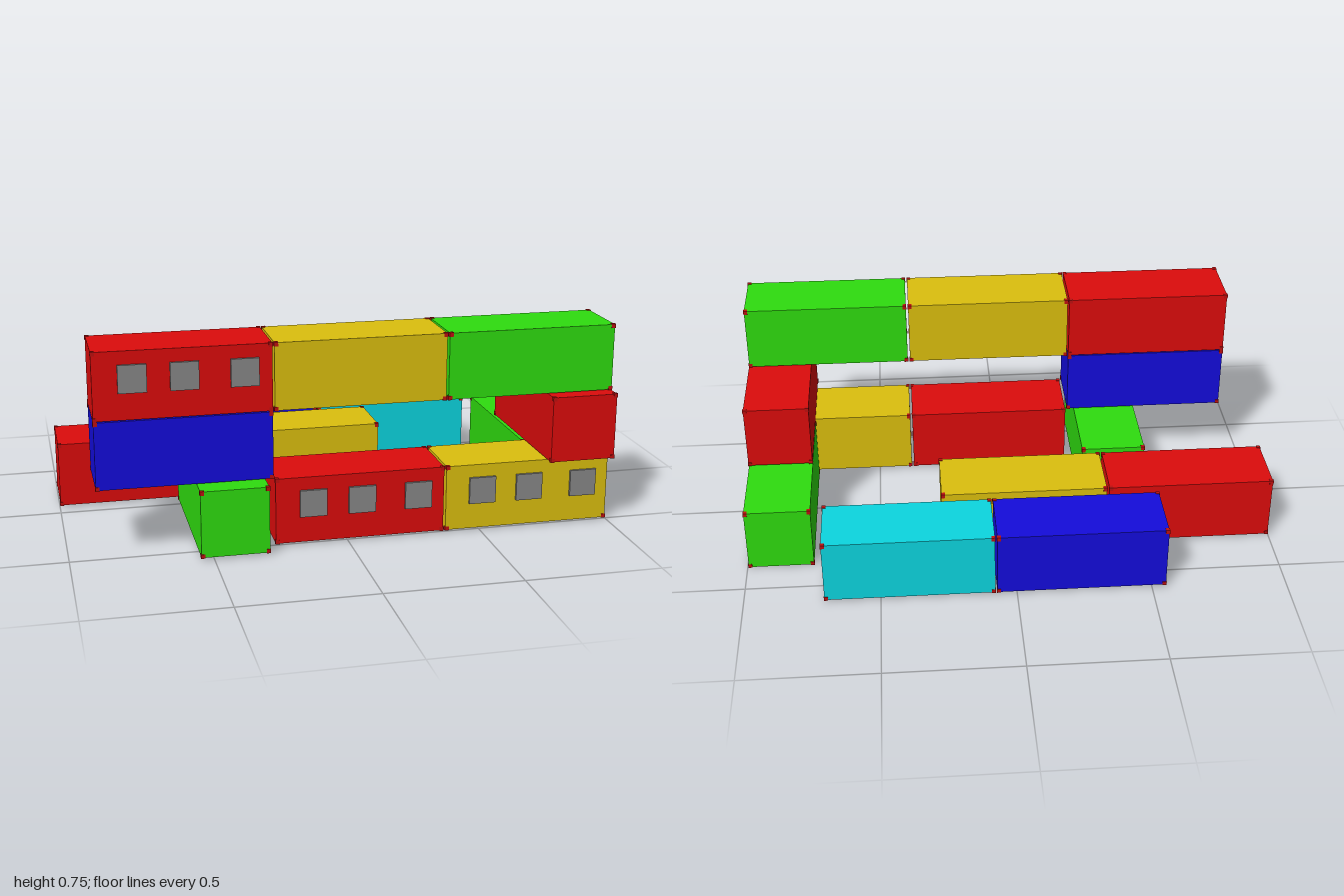
import * as THREE from 'three';

const LENGTH = 0.625, WIDTH = 0.245, HEIGHT = 0.245;
const COLORS = { red: 0xdd0c0c, yellow: 0xdcc00e, green: 0x2fdd0f, blue: 0x140cdc, cyan: 0x0cd6e0 };
const materials = {};
for (const name in COLORS) materials[name] = new THREE.MeshStandardMaterial({ color: COLORS[name] });
const castingMaterial = new THREE.MeshStandardMaterial({ color: 0xc01010 });
const windowMaterial = new THREE.MeshStandardMaterial({ color: 0x888888 });

function addBox(parent, name, size, position, material) {
  const mesh = new THREE.Mesh(new THREE.BoxGeometry(...size), material);
  mesh.name = name;
  mesh.position.set(...position);
  parent.add(mesh);
}

// One shipping container, long along x, standing on its own y = 0
function createContainer(color, windows) {
  const container = new THREE.Group();
  container.name = color + 'Container';
  addBox(container, 'body', [LENGTH, HEIGHT, WIDTH], [0, HEIGHT / 2, 0], materials[color]);

  // Corner castings stand slightly proud of the body
  const s = 0.015, proud = 0.002;
  for (const x of [-1, 1]) for (const y of [-1, 1]) for (const z of [-1, 1]) {
    addBox(container, 'cornerCasting', [s, s, s], [
      x * (LENGTH / 2 + proud - s / 2),
      HEIGHT / 2 + y * (HEIGHT / 2 + proud - s / 2),
      z * (WIDTH / 2 + proud - s / 2),
    ], castingMaterial);
  }

  // Raised window panels on the front side
  if (windows) for (const x of [-0.175, 0.005, 0.215]) {
    addBox(container, 'window', [0.1, 0.1, 0.02], [x, 0.147, WIDTH / 2], windowMaterial);
  }
  return container;
}

export function createModel() {
  const model = new THREE.Group();
  model.name = 'containerStack';

  // colour, centre x, base y, centre z, turned crosswise, windows
  const layout = [
    // Ground level
    ['red', -0.685, 0.007, -0.187, false, false],
    ['yellow', -0.05, 0.007, -0.187, false, false],
    ['blue', -0.24, 0.007, -0.472, false, false],
    ['cyan', 0.393, 0.007, -0.472, false, false],
    ['green', -0.423, 0.009, 0.273, true, false],
    ['red', 0.047, 0.009, 0.388, false, true],
    ['yellow', 0.681, 0.009, 0.388, false, true],
    ['green', 0.873, 0.002, -0.057, true, false],
    // Middle level
    ['blue', -0.585, 0.259, 0.388, false, false],
    ['red', 0.873, 0.259, 0.248, true, false],
    // Top level
    ['red', -0.585, 0.508, 0.388, false, true],
    ['yellow', 0.047, 0.508, 0.388, false, false],
    ['green', 0.681, 0.508, 0.388, false, false],
  ];
  for (const [color, x, y, z, crosswise, windows] of layout) {
    const container = createContainer(color, windows);
    container.position.set(x, y, z);
    if (crosswise) container.rotation.y = Math.PI / 2;
    model.add(container);
  }
  return model;
}
